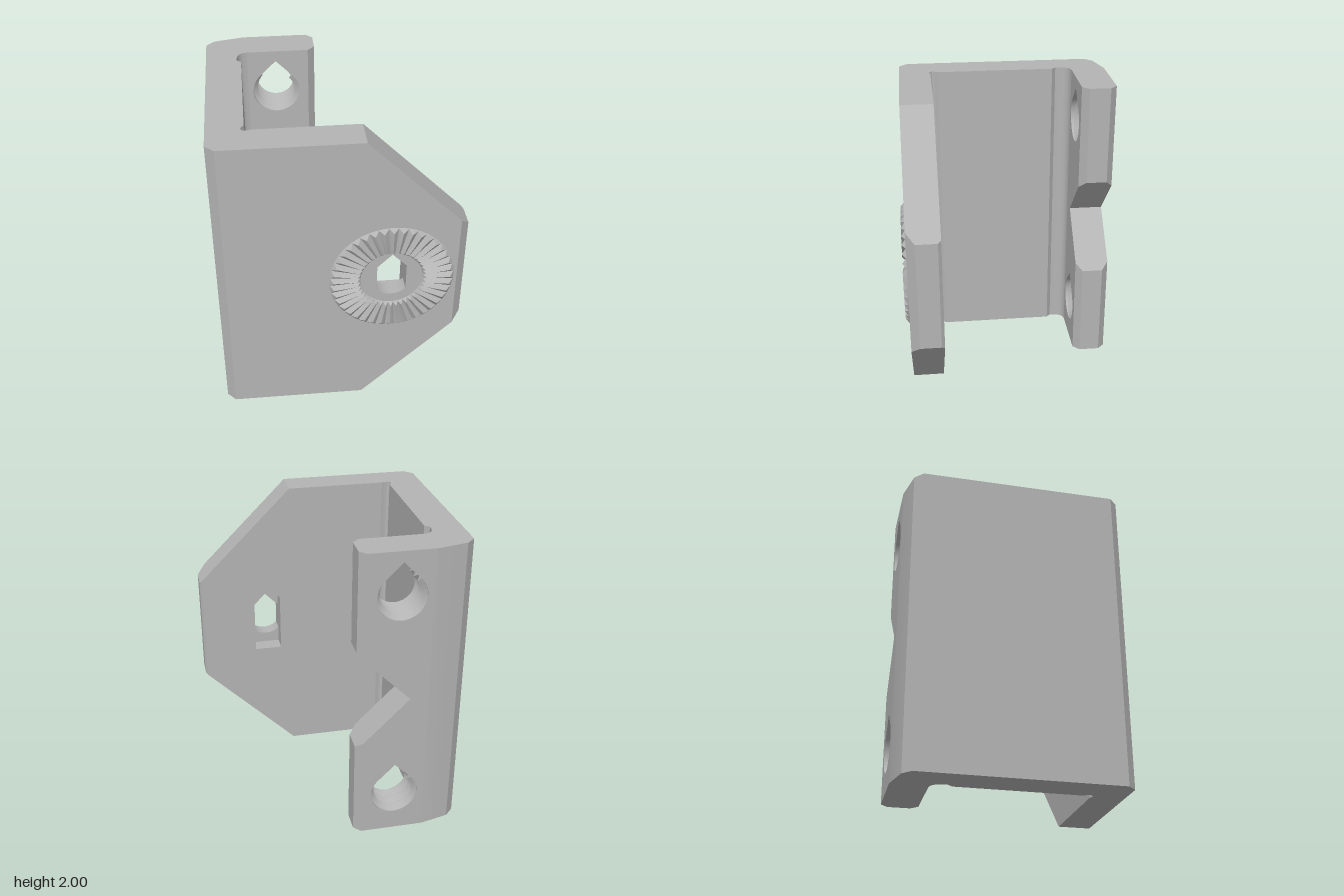
import * as THREE from 'three';
import { toCreasedNormals } from 'three/addons/utils/BufferGeometryUtils.js';

const PIVOT_X = 0.308, SCREW_X = -0.325;

export function createModel() {
  const group = new THREE.Group();
  const grey = new THREE.MeshStandardMaterial({ color: 0xb4b4b4, side: THREE.DoubleSide });
  grey.name = 'plain grey';

  const add = (name, geometry) => {
    const mesh = new THREE.Mesh(toCreasedNormals(geometry, 0.45), grey);
    mesh.name = name;
    group.add(mesh);
  };
  const shapeOf = (pts) => new THREE.Shape(pts.map(([x, y]) => new THREE.Vector2(x, y)));

  // Plate drawn in x-y, extruded from z0 to z1
  const plate = (pts, holes, z0, z1) => {
    const shape = shapeOf(pts);
    shape.holes.push(...holes);
    return new THREE.ExtrudeGeometry(shape, { depth: z1 - z0, bevelEnabled: false, curveSegments: 28 })
      .translate(0, 0, z0);
  };
  // Upright bar drawn in x-z, whose bottom and top heights depend on x
  const bar = (pts, low, high) => {
    const g = new THREE.ExtrudeGeometry(shapeOf(pts.map(([x, z]) => [x, -z])), { depth: 1, bevelEnabled: false })
      .rotateX(-Math.PI / 2);
    const p = g.attributes.position;
    for (let i = 0; i < p.count; i++) p.setY(i, (p.getY(i) > 0.5 ? high : low)(p.getX(i)));
    return g;
  };
  // Round hole with a pointed roof
  const teardrop = (x, y, r) => {
    const path = new THREE.Path();
    path.absarc(x, y, r, Math.PI * 0.75, Math.PI * 2.25, false);
    path.lineTo(x, y + r * Math.SQRT2);
    path.closePath();
    return path;
  };

  // Side wall with outer chamfers and relieved inner corners
  add('sideWall', bar([
    [-0.51, 0.69], [-0.72, 0.69], [-0.775, 0.635], [-0.775, -0.62], [-0.72, -0.675],
    [-0.53, -0.72], [-0.51, -0.72], [-0.51, -0.49], [-0.535, -0.485], [-0.556, -0.471],
    [-0.57, -0.45], [-0.577, -0.42], [-0.578, -0.387], [-0.55, -0.36], [-0.55, 0.43],
    [-0.568, 0.452], [-0.57, 0.468], [-0.562, 0.483], [-0.548, 0.489], [-0.53, 0.487], [-0.51, 0.48],
  ], () => 0, () => 2));

  // Front plate: outer layer with a keyed hole, inner layer with a longer slot
  const frontOutline = [[-0.51, 0], [0.135, 0], [0.72, 0.585], [0.72, 1.415], [0.135, 2], [-0.51, 2]];
  const keyed = new THREE.Path();
  keyed.absarc(PIVOT_X, 1, 0.13, Math.PI * 1.25, Math.PI * 1.75, false);
  keyed.lineTo(PIVOT_X + 0.092, 1.092);
  keyed.lineTo(PIVOT_X, 1.186);
  keyed.lineTo(PIVOT_X - 0.092, 1.092);
  keyed.closePath();
  const slot = shapeOf([[-0.092, 0.8], [0.092, 0.8], [0.092, 1.2], [0, 1.29], [-0.092, 1.2]]
    .map(([x, y]) => [x + PIVOT_X, y]));
  add('frontPlateOuter', plate(frontOutline, [keyed], 0.59, 0.69));
  add('frontPlateInner', plate(frontOutline, [slot], 0.48, 0.59));
  add('frontPlateEnd', bar(
    [[0.72, 0.48], [0.76, 0.48], [0.775, 0.5], [0.775, 0.635], [0.72, 0.69]],
    (x) => x - 0.135, (x) => 2.135 - x));

  // Back flange with a V notch and two screw holes
  const screwHeights = [0.29, 1.71];
  add('backFlange', plate(
    [[-0.51, 0], [-0.11, 0], [-0.11, 0.705], [-0.405, 1], [-0.11, 1.295], [-0.11, 2], [-0.51, 2]],
    screwHeights.map((y) => teardrop(SCREW_X, y, 0.155)), -0.72, -0.49));
  const tip = [[-0.11, -0.72], [-0.065, -0.675], [-0.065, -0.535], [-0.11, -0.49]];
  add('flangeTipLower', bar(tip, () => 0, (x) => 0.595 - x));
  add('flangeTipUpper', bar(tip, (x) => 1.405 + x, () => 2));

  // Screw threads: helical ridges interrupted by the pointed roof
  const pitch = 0.075;
  for (const y of screwHeights) {
    for (let turn = 0; turn < 3; turn++) {
      const g = new THREE.TorusGeometry(0.157, 0.034, 4, 30, Math.PI * 1.5);
      const p = g.attributes.position;
      for (let i = 0; i < p.count; i++) {
        const a = (i % 31) / 30 * 0.75 + 0.375;
        const z = -0.735 + pitch * (turn + a) + p.getZ(i);
        p.setZ(i, THREE.MathUtils.clamp(z, -0.717, -0.493));
      }
      add('screwThread', g.rotateZ(Math.PI * 0.75).translate(SCREW_X, y, 0));
    }
  }

  // Serrated ring: alternating radial crests and valleys
  const TEETH = 40;
  const crest = [[0.195, 0.69], [0.218, 0.717], [0.365, 0.717], [0.392, 0.69]];
  const valley = [[0.195, 0.69], [0.198, 0.693], [0.389, 0.693], [0.392, 0.69]];
  const positions = [], index = [];
  for (let i = 0; i < TEETH * 2; i++) {
    const a = i * Math.PI / TEETH;
    for (const [r, z] of i % 2 ? valley : crest) {
      positions.push(PIVOT_X + r * Math.cos(a), 1 + r * Math.sin(a), z);
    }
    const next = (i + 1) % (TEETH * 2);
    for (let k = 0; k < 3; k++) {
      const b = i * 4 + k, c = next * 4 + k;
      index.push(b, b + 1, c + 1, b, c + 1, c);
    }
  }
  const ring = new THREE.BufferGeometry();
  ring.setAttribute('position', new THREE.Float32BufferAttribute(positions, 3));
  ring.setIndex(index);
  add('serratedRing', ring);

  return group;
}
